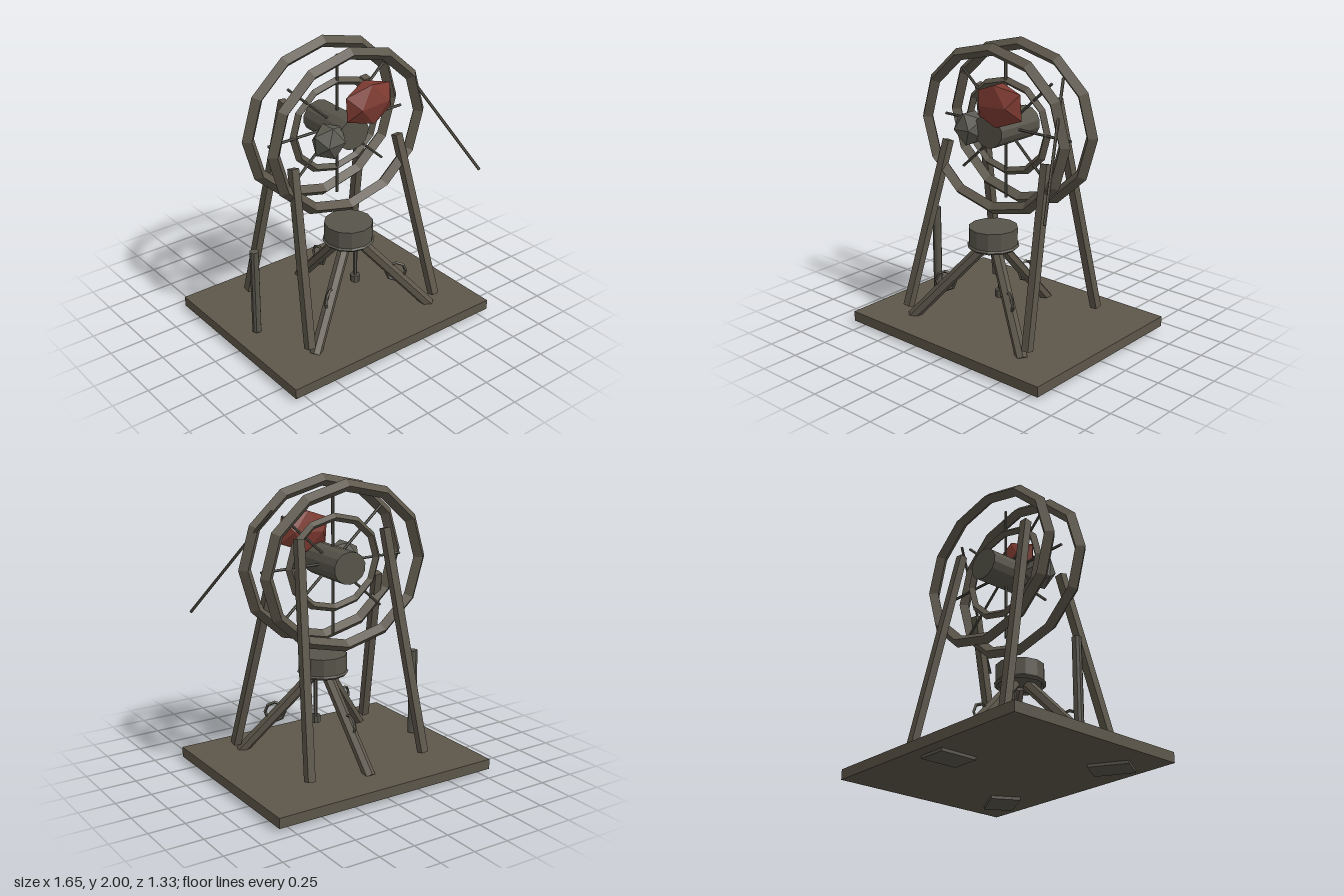
import * as THREE from 'three';

const material = (name, color) => {
  const m = new THREE.MeshStandardMaterial({ color, flatShading: true });
  m.name = name;
  return m;
};

export function createModel() {
  const model = new THREE.Group();
  const wood = material('weatheredWood', 0x5c564a);
  const iron = material('dullIron', 0x57544a);
  const stone = material('greyStone', 0x5c5b52);
  const red = material('redStone', 0x7d3a31);

  const add = (name, geometry, mat, pos = [0, 0, 0], parent = model) => {
    const mesh = new THREE.Mesh(geometry, mat);
    mesh.name = name;
    mesh.position.set(...pos);
    parent.add(mesh);
    return mesh;
  };

  // Straight bar between two points; square when asked, otherwise round
  const bar = (name, a, b, r, sides, mat, parent = model, square = false) => {
    const from = new THREE.Vector3(...a), to = new THREE.Vector3(...b);
    const dir = to.clone().sub(from), len = dir.length();
    const geo = square ? new THREE.BoxGeometry(r * 2, len, r * 2)
      : new THREE.CylinderGeometry(r, r, len, sides);
    const mesh = add(name, geo, mat, from.add(to).multiplyScalar(0.5).toArray(), parent);
    mesh.quaternion.setFromUnitVectors(new THREE.Vector3(0, 1, 0), dir.normalize());
    return mesh;
  };

  // Platform
  add('platform', new THREE.BoxGeometry(1.65, 0.07, 1.33), wood, [0, 0.055, 0]);

  // Tripod with foot pads and leg rings, each leg turned about the centre
  const tripod = new THREE.Group();
  tripod.name = 'tripod';
  tripod.position.z = 0.14;
  model.add(tripod);
  for (let i = 0; i < 3; i++) {
    const leg = new THREE.Group();
    leg.name = 'tripodLeg';
    leg.rotation.y = Math.PI + (i * Math.PI * 2) / 3;
    tripod.add(leg);
    bar('legBeam', [0, 0.64, 0.05], [0, 0.075, 0.57], 0.04, 6, wood, leg);
    add('footPad', new THREE.BoxGeometry(0.2, 0.022, 0.265), iron, [0, 0.011, 0.59], leg);
    const ring = add('legRing', new THREE.TorusGeometry(0.068, 0.011, 4, 8), iron, [0, 0.357, 0.33], leg);
    ring.rotation.y = Math.PI / 2;
  }
  add('bowl', new THREE.CylinderGeometry(0.165, 0.165, 0.13, 12), iron, [0, 0.71, 0], tripod);
  const band = add('bowlBand', new THREE.TorusGeometry(0.16, 0.016, 4, 12), iron, [0, 0.646, 0], tripod);
  band.rotation.x = Math.PI / 2;
  bar('plumbRod', [0.06, 0.64, 0], [0.06, 0.33, 0], 0.014, 6, iron, tripod);
  bar('plumbWeight', [0.06, 0.34, 0], [0.06, 0.29, 0], 0.034, 8, iron, tripod);

  // Slanted support posts
  for (const s of [-1, 1]) {
    bar('frontPost', [s * 0.535, 0.14, 0.42], [s * 0.425, 1.285, 0.115], 0.027, 4, wood, model, true);
    bar('rearPost', [s * 0.45, 0.14, -0.41], [s * 0.33, 1.645, -0.105], 0.027, 4, wood, model, true);
  }

  // Slightly flattened wheel
  const wheel = new THREE.Group();
  wheel.name = 'wheel';
  wheel.position.y = 1.43;
  wheel.scale.y = 0.9;
  model.add(wheel);
  for (const z of [-0.14, 0.14])
    add('outerRim', new THREE.TorusGeometry(0.588, 0.046, 4, 12), wood, [0, 0, z], wheel);
  add('innerRim', new THREE.TorusGeometry(0.338, 0.03, 4, 12), wood, [0, 0, 0], wheel);
  for (let i = 0; i < 4; i++) {
    const x = 0.54 * Math.cos((i * Math.PI) / 4), y = 0.54 * Math.sin((i * Math.PI) / 4);
    bar('spoke', [-x, -y, 0.014], [x, y, 0.014], 0.01, 6, iron, wheel);
  }
  bar('hub', [0, 0, -0.19], [0, 0, 0.19], 0.12, 14, iron, wheel);

  // Faceted stones on the wheel face
  const gem = (name, mat, pos, size, tilt) => {
    const geo = new THREE.IcosahedronGeometry(1, 0).rotateZ(Math.PI / 2).scale(...size).rotateZ(tilt);
    add(name, geo, mat, pos);
  };
  gem('redStone', red, [0.11, 1.625, 0.2], [0.21, 0.16, 0.088], 0.07);
  gem('greyStone', stone, [-0.178, 1.42, 0.16], [0.125, 0.125, 0.105], 0.08);

  // Loose pole and standing cylinder
  bar('leaningPole', [0.46, 1.82, 0], [0.775, 1.085, 0.555], 0.01, 6, wood);
  bar('sidePost', [-0.665, 0.105, 0], [-0.665, 0.718, 0], 0.031, 10, iron);

  return model;
}
